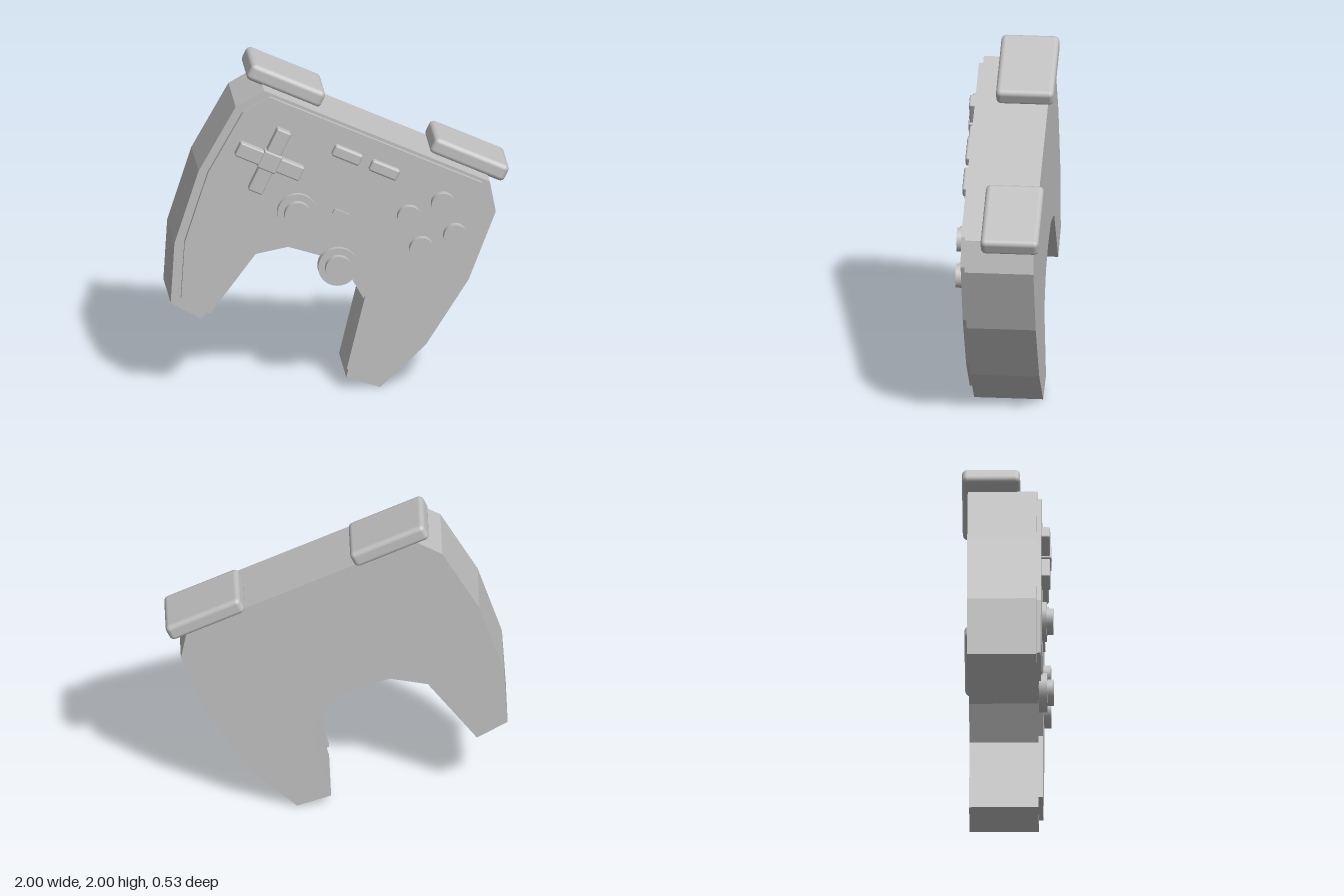
import * as THREE from 'three';
import { RoundedBoxGeometry } from 'three/addons/geometries/RoundedBoxGeometry.js';

export function createModel() {
  const model = new THREE.Group();
  model.name = 'gamepad';
  // everything is built upright and symmetric, then tilted
  const pad = new THREE.Group();
  pad.name = 'tiltedPad';
  pad.rotation.z = THREE.MathUtils.degToRad(-25);
  pad.position.set(-0.427, 0.199, 0);
  model.add(pad);

  const grey = new THREE.MeshStandardMaterial({ color: 0xc0c0c0 });
  grey.name = 'plainGrey';

  const add = (name, geometry, x = 0, y = 0, z = 0) => {
    const mesh = new THREE.Mesh(geometry, grey);
    mesh.name = name;
    mesh.position.set(x, y, z);
    pad.add(mesh);
    return mesh;
  };

  // right half of the outline, from the top corner round to the arch
  const half = [
    [0.732, 1.513], [0.843, 1.357], [0.875, 0.911], [0.815, 0.445],
    [0.679, 0.101], [0.47, 0.079], [0.374, 0.551], [0.19, 0.685],
  ];
  const outline = [
    ...half, [0, 0.708],
    ...half.map(([x, y]) => [-x, y]).reverse(),
  ].reverse();
  const slab = (sx, sy, oy, depth) => new THREE.ExtrudeGeometry(
    new THREE.Shape(outline.map(([x, y]) => new THREE.Vector2(x * sx, y * sy + oy))),
    { depth, bevelEnabled: false },
  );
  add('body', slab(1, 1, 0, 0.405), 0, 0, -0.23);
  add('facePlate', slab(0.943, 0.948, 0.061, 0.026), 0, 0, 0.175);

  // parts standing on the face, reaching forward to zFront
  const FACE = 0.18;
  const bar = (name, x, y, w, h, zFront, r) => add(name,
    new RoundedBoxGeometry(w, h, zFront - FACE, 2, r), x, y, (zFront + FACE) / 2);
  const disc = (name, x, y, r, zFront) => {
    const geometry = new THREE.CylinderGeometry(r, r, zFront - FACE, 32);
    geometry.rotateX(Math.PI / 2);
    add(name, geometry, x, y, (zFront + FACE) / 2);
  };

  // shoulder buttons
  for (const side of [-1, 1]) {
    add(side > 0 ? 'leftShoulderButton' : 'rightShoulderButton',
      new RoundedBoxGeometry(0.48, 0.105, 0.34, 2, 0.03), side * 0.595, 1.556, -0.095);
  }

  // directional pad
  const [dx, dy] = [-0.53, 1.144];
  for (const s of [-1, 1]) {
    bar('directionPadSideArm', dx + s * 0.127, dy, 0.16, 0.09, 0.25, 0.01);
    bar('directionPadUprightArm', dx, dy + s * 0.127, 0.09, 0.16, 0.25, 0.01);
  }
  bar('directionPadCentre', dx, dy, 0.115, 0.115, 0.258, 0.01);

  // menu buttons
  for (const x of [-0.122, 0.119]) bar('menuButton', x, 1.351, 0.178, 0.072, 0.236, 0.014);
  add('homeButton', new THREE.BoxGeometry(0.095, 0.034, 0.035), 0, 1.001, 0.1975);

  // thumb sticks
  for (const [x, y] of [[-0.243, 0.911], [0.121, 0.7]]) {
    disc('stickBase', x, y, 0.117, 0.228);
    disc('stickCap', x, y, 0.077, 0.266);
  }

  // action buttons in a diamond
  for (let i = 0; i < 4; i++) {
    const a = i * Math.PI / 2;
    disc('actionButton', 0.525 + 0.15 * Math.cos(a), 1.144 + 0.15 * Math.sin(a), 0.07, 0.243);
  }

  return model;
}
